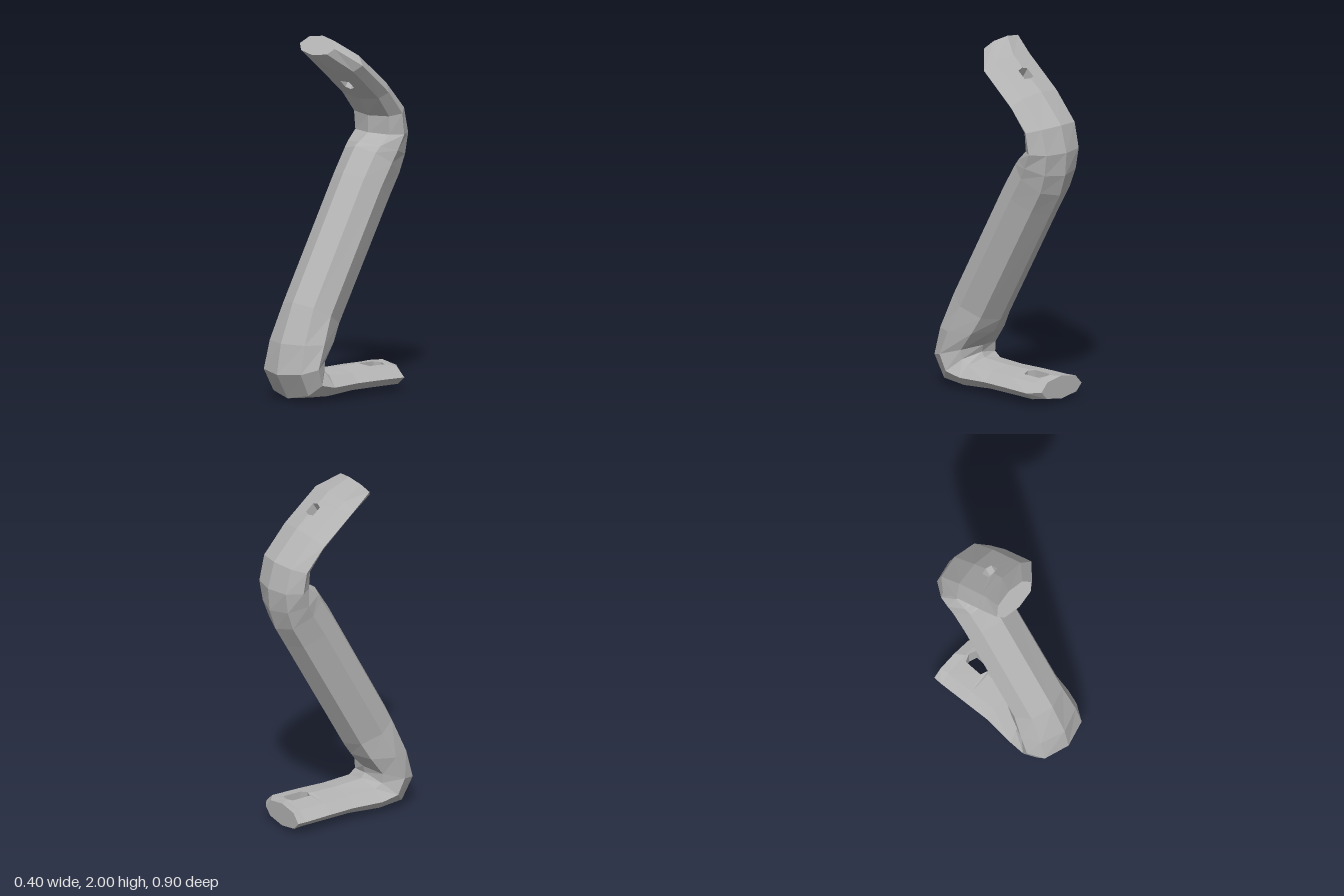
import * as THREE from 'three';

// Stations along the bent bar: outer edge z,y / inner edge z,y / half width / x offset
const STATIONS = [
  [-0.38, 0.02, -0.38, 0.15, 0.16, -0.035],
  [-0.33, 0.02, -0.33, 0.15, 0.195, 0],
  [-0.16, 0.02, -0.16, 0.155, 0.185, 0],
  [0.0, 0.02, 0.0, 0.155, 0.175, 0],
  [0.2, 0.005, 0.17, 0.165, 0.185, 0],
  [0.37, 0.02, 0.19, 0.195, 0.19, 0],
  [0.45, 0.16, 0.18, 0.235, 0.2, 0],
  [0.42, 0.33, 0.1, 0.325, 0.19, 0],
  [0.33, 0.55, 0.05, 0.4, 0.167, 0],
  [-0.05, 1.23, -0.33, 1.06, 0.165, 0],
  [-0.14, 1.37, -0.4, 1.18, 0.168, 0],
  [-0.17, 1.39, -0.44, 1.3, 0.177, 0],
  [-0.24, 1.435, -0.45, 1.43, 0.185, 0],
  [-0.24, 1.53, -0.41, 1.58, 0.19, 0],
  [-0.17, 1.63, -0.26, 1.745, 0.195, 0],
  [-0.02, 1.765, -0.09, 1.885, 0.197, 0],
  [0.02, 1.8, -0.05, 1.918, 0.197, 0],
  [0.13, 1.9, 0.05, 2.0, 0.14, -0.055],
];

// Eight-sided section: x as a share of half width, depth from outer to inner edge
const SECTION = [[0, 0], [0.74, 0.15], [1, 0.47], [0.7, 0.86], [0, 1], [-0.7, 0.86], [-1, 0.47], [-0.74, 0.15]];

// Bolt holes by starting station: x range and share of the length
const HOLES = {
  1: { x: [-0.025, 0.065], t: [0.06, 0.92] },
  14: { x: [-0.03, 0.04], t: [0.46, 0.82] },
};

function pointOn(s, x, depth) {
  return new THREE.Vector3(
    x,
    THREE.MathUtils.lerp(s[1], s[3], depth),
    THREE.MathUtils.lerp(s[0], s[2], depth),
  );
}

const rings = STATIONS.map((s) => SECTION.map(([x, d]) => pointOn(s, s[5] + x * s[4], d)));

function quad(out, a, b, c, d) {
  out.push(a, b, c, a, c, d);
}

// Flat end made of a fan
function cap(out, ring) {
  for (let j = 1; j < ring.length - 1; j++) out.push(ring[0], ring[j], ring[j + 1]);
}

// Six-sided rim of a hole on the outer (side 0) or inner (side 1) face
function holeRim(i, { x, t }, side) {
  const mid = (x[0] + x[1]) / 2;
  const xs = side ? [x[1], mid, x[0]] : [x[0], mid, x[1]];
  const at = (px, pt) => {
    const s = STATIONS[i].map((v, k) => THREE.MathUtils.lerp(v, STATIONS[i + 1][k], pt));
    const dip = (0.15 * Math.abs(px)) / (0.73 * s[4]);
    return pointOn(s, px, side ? 1 - dip : dip);
  };
  const inset = (t[1] - t[0]) * 0.12;
  return [
    at(xs[0], t[0] + inset), at(xs[1], t[0]), at(xs[2], t[0] + inset),
    at(xs[2], t[1] - inset), at(xs[1], t[1]), at(xs[0], t[1] - inset),
  ];
}

function addHole(out, i, hole) {
  const rims = [0, 1].map((side) => holeRim(i, hole, side));
  // Face around each rim
  [[7, 0, 1], [3, 4, 5]].forEach((js, side) => {
    const border = [...js.map((j) => rings[i][j]), ...js.slice().reverse().map((j) => rings[i + 1][j])];
    const rim = rims[side];
    for (let k = 0; k < 6; k++) {
      const n = (k + 1) % 6;
      quad(out, border[k], border[n], rim[n], rim[k]);
    }
  });
  // Tunnel walls
  const match = [2, 1, 0, 5, 4, 3];
  for (let k = 0; k < 6; k++) {
    const n = (k + 1) % 6;
    quad(out, rims[0][k], rims[0][n], rims[1][match[n]], rims[1][match[k]]);
  }
}

// Skin between two stations, closed at the bar's ends
function loft(from, to) {
  const out = [];
  for (let i = from; i < to; i++) {
    const hole = HOLES[i];
    for (let j = 0; j < 8; j++) {
      if (hole && [7, 0, 3, 4].includes(j)) continue;
      const n = (j + 1) % 8;
      quad(out, rings[i][j], rings[i][n], rings[i + 1][n], rings[i + 1][j]);
    }
    if (hole) addHole(out, i, hole);
  }
  if (from === 0) cap(out, rings[0].slice().reverse());
  if (to === rings.length - 1) cap(out, rings[to]);
  const geometry = new THREE.BufferGeometry().setFromPoints(out);
  geometry.computeVertexNormals();
  return geometry;
}

export function createModel() {
  const group = new THREE.Group();
  group.name = 'bentHandle';
  const grey = new THREE.MeshStandardMaterial({ color: 0xb4b4b4, flatShading: true });
  grey.name = 'grey';

  const parts = [
    ['footTab', 0, 4],
    ['lowerBend', 4, 8],
    ['gripBar', 8, 10],
    ['upperBend', 10, 14],
    ['topTab', 14, STATIONS.length - 1],
  ];
  for (const [name, from, to] of parts) {
    const mesh = new THREE.Mesh(loft(from, to), grey);
    mesh.name = name;
    group.add(mesh);
  }
  return group;
}
